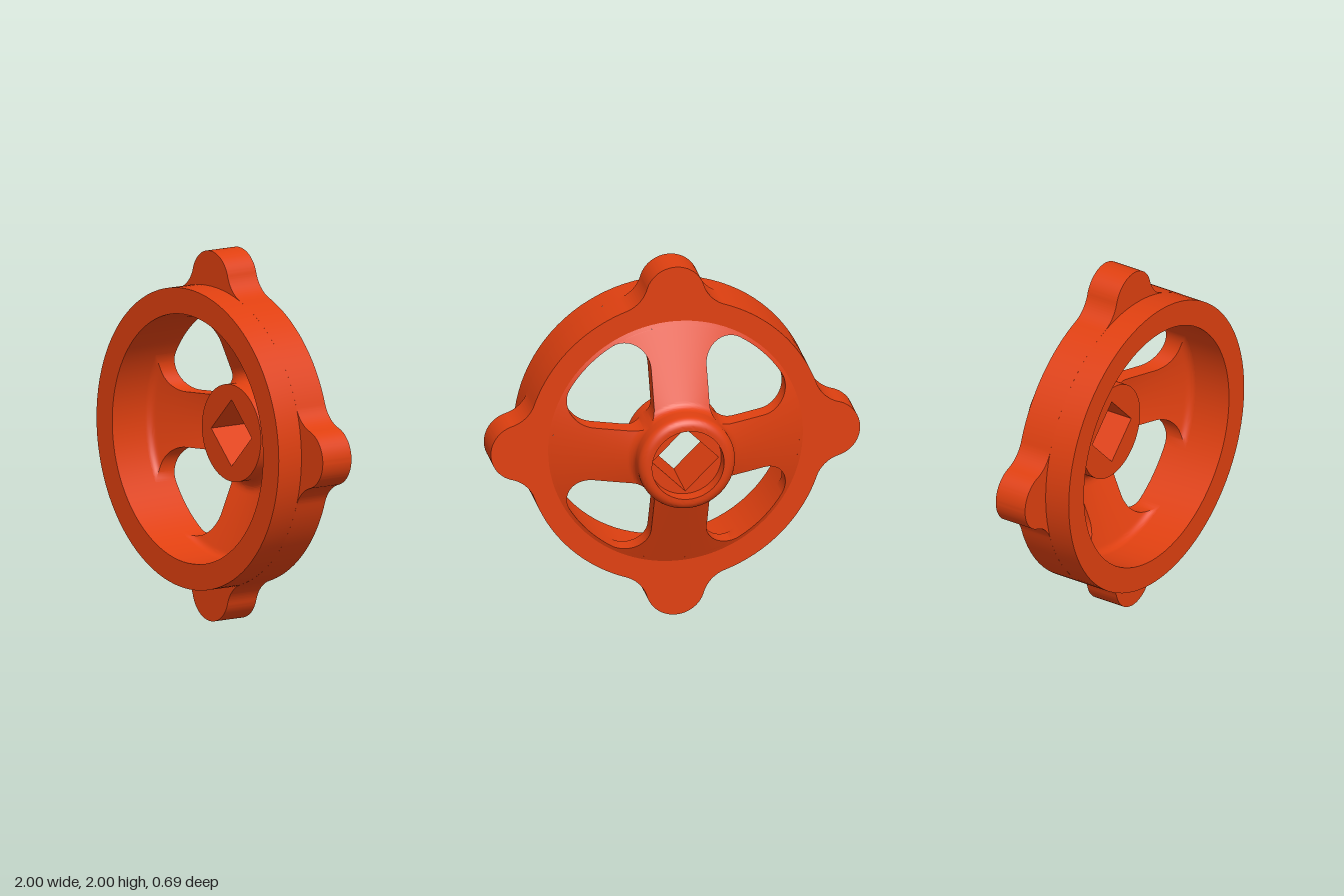
import * as THREE from 'three';
import { mergeGeometries, toCreasedNormals } from 'three/addons/utils/BufferGeometryUtils.js';

const { PI, cos, sin, sqrt, atan2, hypot } = Math;
const CREASE = 0.6;
const HUB = 0.262, BORE = 0.195, RIM_IN = 0.67, RIM_OUT = 0.81;
const SLOPE = 0.46, CONE_R = 0.69, THICK = 0.1;

// Back surface of the conical web, filleted into the hub
function backZ(r) {
  if (r < 0.297) return -0.235 + sqrt(Math.max(0, 0.06 ** 2 - (r - 0.322) ** 2));
  return -(CONE_R - r) * SLOPE;
}

// Front surface of the web, filleted into hub and rim
function frontZ(r) {
  if (r < 0.333) return -0.019 - sqrt(Math.max(0, 0.05 ** 2 - (r - 0.312) ** 2));
  if (r > 0.641) return 0.123 - sqrt(Math.max(0, 0.05 ** 2 - (r - 0.62) ** 2));
  return -(CONE_R - r) * SLOPE + THICK;
}

// Solid of revolution about z from [radius, z] points
function turned(points) {
  const g = new THREE.LatheGeometry(points.map(p => new THREE.Vector2(...p)), 96);
  g.rotateX(PI / 2);
  return toCreasedNormals(g, CREASE);
}

// Points along one edge of a window, from the hub out to the rim
function windowEdge() {
  const pts = [], f = 0.13, n = 14;
  const xo = sqrt((RIM_IN - f) ** 2 - (0.15 + f) ** 2), yo = 0.15 + f;
  for (let i = 0; i <= n; i++) {
    const a = PI * (1.25 + 0.25 * i / n);
    pts.push([0.27 + 0.12 * cos(a), 0.27 + 0.12 * sin(a)]);
  }
  for (let i = 1; i < 10; i++) pts.push([0.27 + (xo - 0.27) * i / 10, 0.15]);
  const end = atan2(yo, xo);
  for (let i = 0; i <= 20; i++) {
    const a = -PI / 2 + (end + PI / 2) * i / 20;
    pts.push([xo + f * cos(a), yo + f * sin(a)]);
  }
  return pts;
}

// One spoke: closed sections, each an arc of constant radius
function spokeGeometry() {
  const edge = windowEdge(), n = 20, loop = 2 * (n + 1), pos = [], idx = [];
  edge.forEach(([x, y], i) => {
    const r = hypot(x, y), phi = atan2(y, x);
    for (let k = 0; k < loop; k++) {
      const back = k <= n;
      const a = phi * (back ? -1 + 2 * k / n : 1 - 2 * (k - n - 1) / n);
      pos.push(r * cos(a), r * sin(a), back ? backZ(r) : frontZ(r));
      if (i < edge.length - 1) {
        const p = i * loop + k, q = i * loop + (k + 1) % loop;
        idx.push(p, q, p + loop, q, q + loop, p + loop);
      }
    }
  });
  const g = new THREE.BufferGeometry();
  g.setAttribute('position', new THREE.Float32BufferAttribute(pos, 3));
  g.setIndex(idx);
  return g;
}

// Ring plate with four rounded grip lobes
function lobedPlate() {
  const s = new THREE.Shape(), tip = 0.16, tipAt = 0.84, fil = 0.18, d = RIM_OUT + fil;
  const t = Math.acos((d * d + tipAt ** 2 - (tip + fil) ** 2) / (2 * d * tipAt));
  for (let k = 0; k < 4; k++) {
    const a = k * PI / 2;
    const lx = tipAt * cos(a), ly = tipAt * sin(a);
    const [x1, y1, x2, y2] = [d * cos(a - t), d * sin(a - t), d * cos(a + t), d * sin(a + t)];
    const to1 = atan2(y1 - ly, x1 - lx), to2 = atan2(y2 - ly, x2 - lx);
    s.absarc(x1, y1, fil, a - t + PI, to1 + PI, true);
    s.absarc(lx, ly, tip, to1, to2, false);
    s.absarc(x2, y2, fil, to2 + PI, a + t + PI, true);
    s.absarc(0, 0, RIM_OUT, a + t, a + PI / 2 - t, false);
  }
  s.holes.push(new THREE.Path().absarc(0, 0, CONE_R, 0, 2 * PI, true));
  const g = new THREE.ExtrudeGeometry(s, { depth: 0.19, bevelEnabled: false, curveSegments: 24 });
  return toCreasedNormals(g, CREASE);
}

// Hub core: disc with a square drive hole standing on its corner
function driveCore() {
  const s = new THREE.Shape().absarc(0, 0, BORE, 0, 2 * PI, false), h = 0.18;
  s.holes.push(new THREE.Path([[h, 0], [0, -h], [-h, 0], [0, h], [h, 0]].map(p => new THREE.Vector2(...p))));
  const g = new THREE.ExtrudeGeometry(s, { depth: 0.315, bevelEnabled: false, curveSegments: 48 });
  g.translate(0, 0, -0.265);
  return toCreasedNormals(g, CREASE);
}

export function createModel() {
  const group = new THREE.Group();
  group.name = 'handwheel';
  const material = new THREE.MeshStandardMaterial({ color: 0xe04010 });
  const add = (name, geometry) => {
    const mesh = new THREE.Mesh(geometry, material);
    mesh.name = name;
    mesh.position.y = 1;
    group.add(mesh);
  };

  add('gripPlate', lobedPlate());
  add('rim', turned([[RIM_OUT, 0.19], [RIM_OUT, 0.34], [RIM_IN, 0.34], [RIM_IN, backZ(RIM_IN)], [CONE_R, 0]]));

  // Four spokes joined so the web shades smoothly
  const spokes = [0, 1, 2, 3].map(k => spokeGeometry().rotateZ(k * PI / 2));
  add('spokes', toCreasedNormals(mergeGeometries(spokes), CREASE));

  // Hub shell with rounded back edge and round counterbore
  const shell = [[BORE, -0.345]];
  for (let i = 0; i <= 8; i++) {
    const a = -PI / 2 + PI / 2 * i / 8;
    shell.push([HUB - 0.05 + 0.05 * cos(a), -0.295 + 0.05 * sin(a)]);
  }
  shell.push([HUB, -0.235], [HUB, 0.05], [BORE, 0.05], [BORE, -0.265], [BORE, -0.345]);
  add('hub', turned(shell));
  add('driveSocket', driveCore());
  return group;
}
